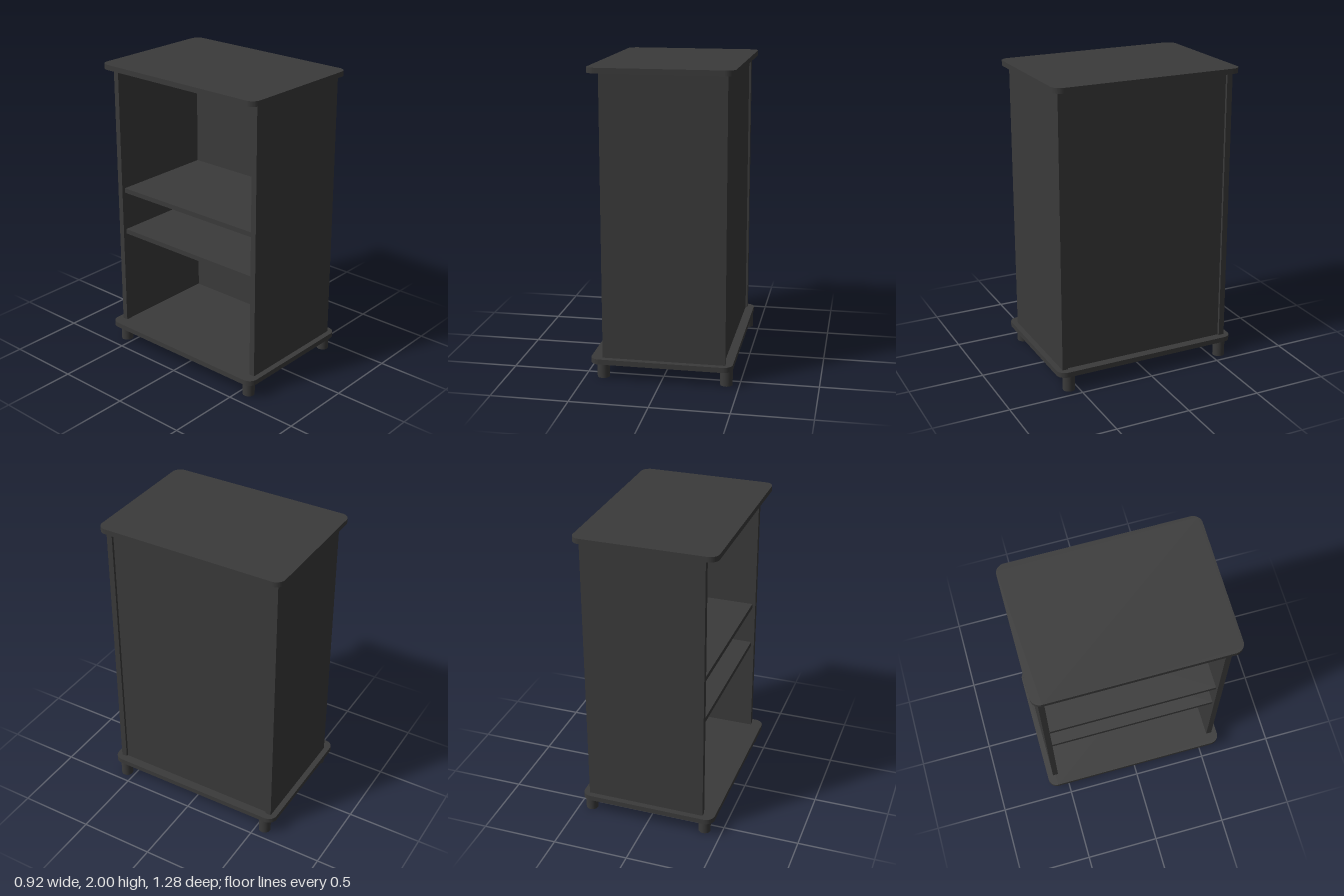
import * as THREE from 'three';

const material = new THREE.MeshStandardMaterial({ color: 0x3a3a3a });

// Box given by its minimum and maximum corners
function box(name, [x0, y0, z0], [x1, y1, z1]) {
  const mesh = new THREE.Mesh(new THREE.BoxGeometry(x1 - x0, y1 - y0, z1 - z0), material);
  mesh.name = name;
  mesh.position.set((x0 + x1) / 2, (y0 + y1) / 2, (z0 + z1) / 2);
  return mesh;
}

// Horizontal slab with rounded corners
function slab(name, y, height) {
  const w = 0.458, d = 0.638, r = 0.06;
  const shape = new THREE.Shape();
  shape.moveTo(-w + r, -d);
  shape.absarc(w - r, -d + r, r, -Math.PI / 2, 0);
  shape.absarc(w - r, d - r, r, 0, Math.PI / 2);
  shape.absarc(-w + r, d - r, r, Math.PI / 2, Math.PI);
  shape.absarc(-w + r, -d + r, r, Math.PI, Math.PI * 1.5);
  const geometry = new THREE.ExtrudeGeometry(shape, { depth: height, bevelEnabled: false, curveSegments: 6 });
  geometry.rotateX(-Math.PI / 2);
  const mesh = new THREE.Mesh(geometry, material);
  mesh.name = name;
  mesh.position.y = y;
  return mesh;
}

export function createModel() {
  const model = new THREE.Group();
  model.name = 'cabinet';
  const bottom = 0.14, top = 1.966;

  model.add(slab('topBoard', top, 2 - top));
  model.add(slab('baseBoard', 0.106, bottom - 0.106));

  // Front and back walls, with the slightly inset closed side between them
  model.add(box('frontPanel', [-0.38, bottom, 0.562], [0.413, top, 0.6]));
  model.add(box('backPanel', [-0.38, bottom, -0.6], [0.413, top, -0.562]));
  model.add(box('sidePanel', [0.365, bottom, -0.559], [0.4, top, 0.559]));

  // Shelves reached from the open side
  for (const [name, y] of [['upperShelf', 1.13], ['lowerShelf', 0.83]]) {
    model.add(box(name, [-0.36, y - 0.032, -0.559], [0.365, y, 0.559]));
  }

  // Round feet
  const footGeometry = new THREE.CylinderGeometry(0.04, 0.04, 0.106, 32);
  for (const x of [-0.384, 0.416]) {
    for (const z of [-0.56, 0.56]) {
      const foot = new THREE.Mesh(footGeometry, material);
      foot.name = 'foot';
      foot.position.set(x, 0.053, z);
      model.add(foot);
    }
  }
  return model;
}
